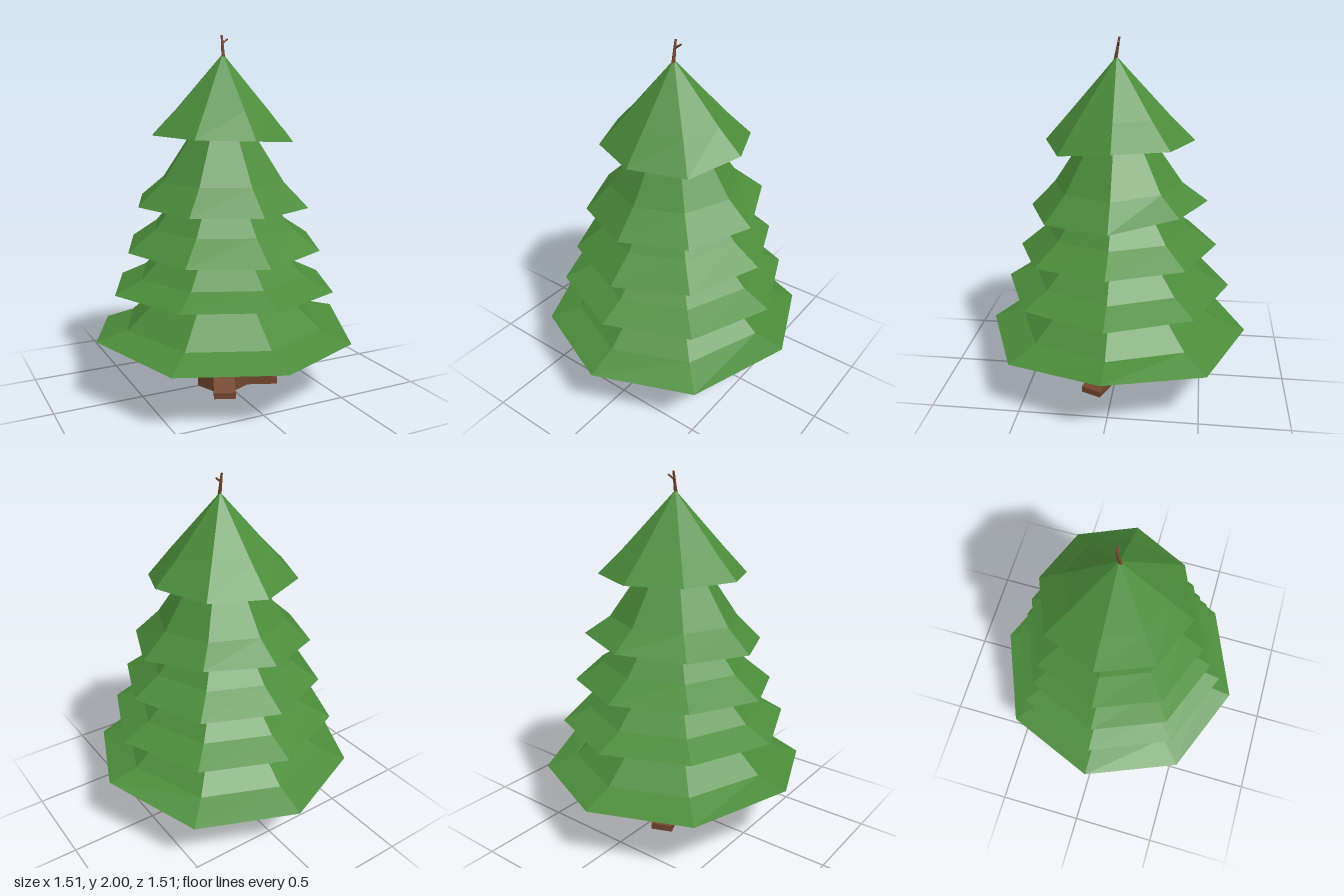
import * as THREE from 'three';

const SIDES = 8;

// Turn any geometry into hard-edged facets
function faceted(geometry) {
  const g = geometry.index ? geometry.toNonIndexed() : geometry;
  g.computeVertexNormals();
  return g;
}

// One closed skirt of branches: apex, shoulder ring, uneven rim and vaulted underside
function tierGeometry({ apex, shoulder, rim, vault, back, heights }) {
  const ring = (r, z, y) => Array.from({ length: SIDES }, (_, k) => {
    const a = (k / SIDES) * Math.PI * 2;
    return [r * Math.cos(a), y(k), r * Math.sin(a) - z];
  });
  const mean = heights.reduce((s, h) => s + h, 0) / SIDES;
  const top = [0, apex, 0.005];
  const under = [0, mean + vault, 0];
  // the shoulder follows the rim's unevenness a little
  const mid = ring(shoulder[0], back / 2, (k) => shoulder[1] + 0.3 * (heights[k] - mean));
  const low = ring(rim, back, (k) => heights[k]);
  const pos = [];
  for (let k = 0; k < SIDES; k++) {
    const n = (k + 1) % SIDES;
    pos.push(...top, ...mid[n], ...mid[k]);
    pos.push(...mid[k], ...mid[n], ...low[n]);
    pos.push(...mid[k], ...low[n], ...low[k]);
    pos.push(...under, ...low[k], ...low[n]);
  }
  const g = new THREE.BufferGeometry();
  g.setAttribute('position', new THREE.Float32BufferAttribute(pos, 3));
  return faceted(g);
}

// Root wedge pointing along +x, lower towards the tip
function rootGeometry(length) {
  const g = new THREE.BoxGeometry(1, 1, 1);
  const p = g.attributes.position;
  for (let i = 0; i < p.count; i++) {
    const tip = p.getX(i) > 0;
    p.setXYZ(i,
      tip ? length : 0.1,
      p.getY(i) > 0 ? (tip ? 0.036 : 0.105) : 0,
      Math.sign(p.getZ(i)) * 0.061);
  }
  return faceted(g);
}

// Thin tapered stick between two points
function stick(from, to, r0, r1, material) {
  const a = new THREE.Vector3(...from);
  const b = new THREE.Vector3(...to);
  const dir = b.clone().sub(a);
  const mesh = new THREE.Mesh(faceted(new THREE.CylinderGeometry(r1, r0, dir.length(), 5)), material);
  mesh.position.copy(a).add(b).multiplyScalar(0.5);
  mesh.quaternion.setFromUnitVectors(new THREE.Vector3(0, 1, 0), dir.normalize());
  return mesh;
}

export function createModel() {
  const tree = new THREE.Group();
  tree.name = 'pineTree';
  const needles = new THREE.MeshStandardMaterial({ color: 0x4b8c3a });
  needles.name = 'needleGreen';
  const bark = new THREE.MeshStandardMaterial({ color: 0x72452c });
  bark.name = 'barkBrown';

  // Foliage tiers from bottom to top; rim heights start at +x and turn towards +z
  const tiers = [
    { apex: 0.9, shoulder: [0.58, 0.39], rim: 0.755, vault: 0.11, back: 0,
      heights: [0.372, 0.32, 0.32, 0.32, 0.362, 0.32, 0.32, 0.32] },
    { apex: 1.14, shoulder: [0.49, 0.68], rim: 0.645, vault: 0.13, back: 0,
      heights: Array(SIDES).fill(0.607) },
    { apex: 1.43, shoulder: [0.41, 0.95], rim: 0.565, vault: 0.24, back: 0,
      heights: [0.857, 0.835, 0.81, 0.815, 0.835, 0.85, 0.857, 0.857] },
    { apex: 1.74, shoulder: [0.36, 1.21], rim: 0.5, vault: 0.26, back: 0.006,
      heights: [1.08, 1.068, 1.058, 1.063, 1.08, 1.1, 1.117, 1.13] },
    { apex: 1.9, shoulder: [0.275, 1.597], rim: 0.412, vault: 0.14, back: 0.012,
      heights: [1.472, 1.425, 1.443, 1.45, 1.463, 1.463, 1.46, 1.465] },
  ];
  tiers.forEach((t, i) => {
    const mesh = new THREE.Mesh(tierGeometry(t), needles);
    mesh.name = `foliageTier${i + 1}`;
    tree.add(mesh);
  });

  // Trunk
  const trunk = new THREE.Mesh(faceted(new THREE.CylinderGeometry(0.157, 0.157, 0.5, SIDES)), bark);
  trunk.position.y = 0.25;
  trunk.name = 'trunk';
  tree.add(trunk);

  // Roots, each growing from one face of the trunk: [angle, length]
  [[22.5, 0.32], [112.5, 0.252], [247.5, 0.29]].forEach(([deg, length], i) => {
    const root = new THREE.Mesh(rootGeometry(length), bark);
    root.rotation.y = -THREE.MathUtils.degToRad(deg);
    root.name = `root${i + 1}`;
    tree.add(root);
  });

  // Bare forked twig at the tip
  const twig = stick([0, 1.87, 0.012], [0, 2, -0.01], 0.011, 0.006, bark);
  twig.name = 'topTwig';
  const fork = stick([0, 1.955, -0.003], [0.035, 1.98, -0.01], 0.007, 0.005, bark);
  fork.name = 'topTwigFork';
  tree.add(twig, fork);

  return tree;
}
